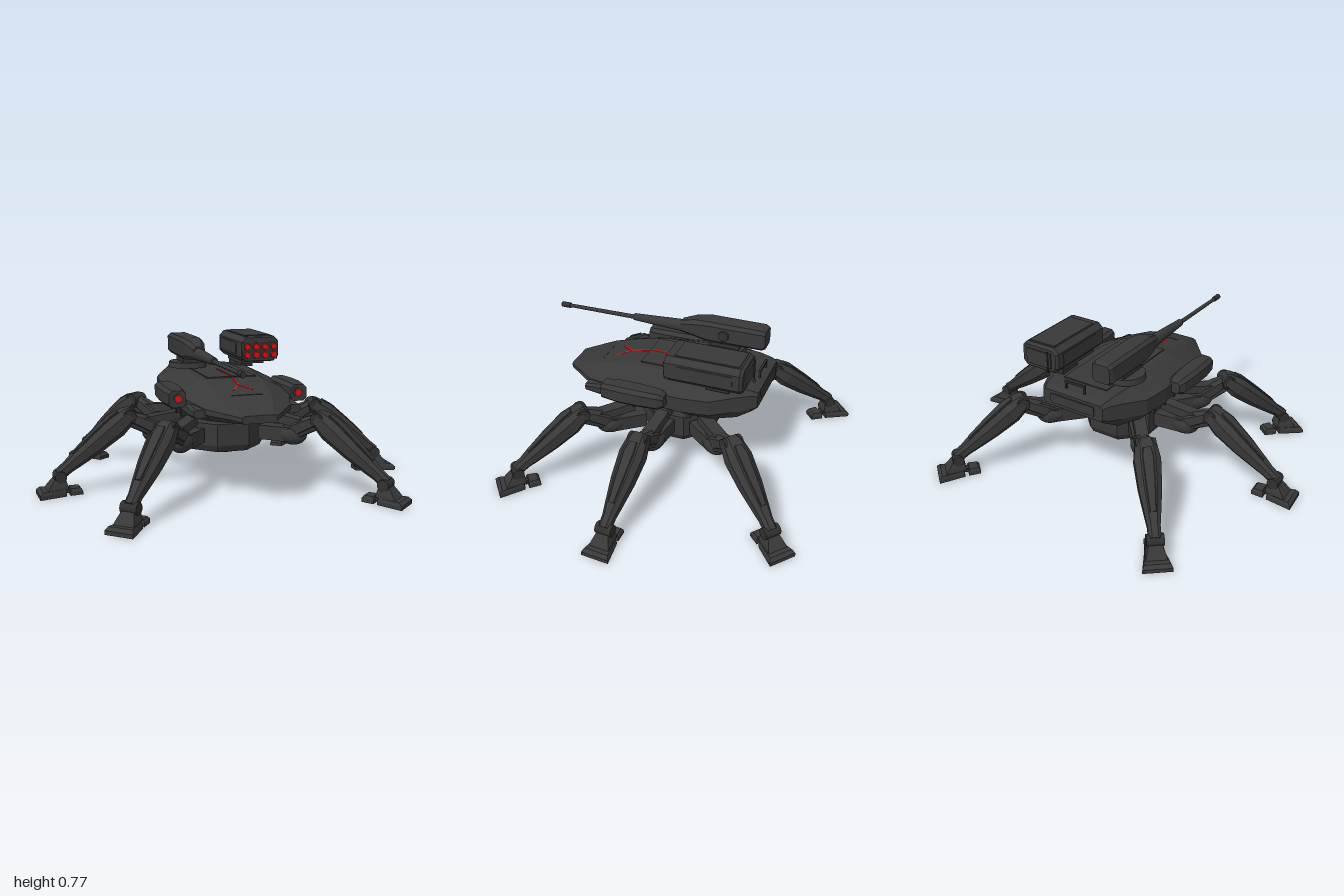
import * as THREE from 'three';

const material = (name, color) => Object.assign(new THREE.MeshStandardMaterial({ color }), { name });
const armour = material('dark grey armour', 0x383838);
const trim = material('charcoal trim', 0x303030);
const red = material('signal red', 0xe80c0c);

// Flat-shaded skin over a row of equal-length rings of [x, y, z] points, capped at both ends
function loft(rings) {
  const pos = [], n = rings[0].length;
  const tri = (a, b, c) => pos.push(...a, ...b, ...c);
  for (let i = 0; i + 1 < rings.length; i++) {
    for (let j = 0; j < n; j++) {
      const k = (j + 1) % n, A = rings[i], B = rings[i + 1];
      tri(A[j], A[k], B[k]);
      tri(A[j], B[k], B[j]);
    }
  }
  const first = rings[0], last = rings[rings.length - 1];
  for (let j = 1; j + 1 < n; j++) {
    tri(first[0], first[j + 1], first[j]);
    tri(last[0], last[j], last[j + 1]);
  }
  // Turn every face outward when the rings run the other way round
  let volume = 0;
  const v = i => new THREE.Vector3().fromArray(pos, i);
  for (let i = 0; i < pos.length; i += 9) volume += v(i).dot(v(i + 3).cross(v(i + 6)));
  if (volume < 0) {
    for (let i = 0; i < pos.length; i += 9) {
      const b = pos.slice(i + 3, i + 6);
      for (let k = 0; k < 3; k++) { pos[i + 3 + k] = pos[i + 6 + k]; pos[i + 6 + k] = b[k]; }
    }
  }
  const g = new THREE.BufferGeometry();
  g.setAttribute('position', new THREE.Float32BufferAttribute(pos, 3));
  g.computeVertexNormals();
  return g;
}

// Chamfered rectangle at depth z
function octagon(z, w, h, c = 0.25, cy = 0) {
  const x = w / 2, y = h / 2, d = Math.min(w, h) * c;
  return [[x, y - d], [x - d, y], [d - x, y], [-x, y - d], [-x, d - y], [d - x, -y], [x - d, -y], [x, d - y]]
    .map(p => [p[0], p[1] + cy, z]);
}
const beam = sections => loft(sections.map(s => octagon(...s)));

function add(parent, name, geometry, mat, x = 0, y = 0, z = 0) {
  const m = new THREE.Mesh(geometry, mat);
  m.name = name;
  m.position.set(x, y, z);
  parent.add(m);
  return m;
}
const box = (w, h, d) => new THREE.BoxGeometry(w, h, d);
const cyl = (r1, r2, h, n = 16) => new THREE.CylinderGeometry(r1, r2, h, n);
const cylZ = (r1, r2, h, n = 16) => cyl(r1, r2, h, n).rotateX(Math.PI / 2);

// Beam whose local z runs from a to b
function strut(parent, name, geometry, mat, a, b) {
  const m = new THREE.Mesh(geometry, mat);
  m.name = name;
  m.position.set(...a);
  m.lookAt(...b);
  parent.add(m);
  return m;
}
function bar(parent, name, mat, a, b, w, h) {
  const len = new THREE.Vector3(...a).distanceTo(new THREE.Vector3(...b));
  return strut(parent, name, box(w, h, len).translate(0, 0, len / 2), mat, a, b);
}

// Leg: local x points outward, origin on the ground below the knee
function makeLeg() {
  const leg = new THREE.Group();
  leg.name = 'leg';
  bar(leg, 'hipArm', armour, [-0.34, 0.285, 0], [-0.16, 0.29, 0], 0.085, 0.075);
  add(leg, 'hipBulb', new THREE.SphereGeometry(0.054, 20, 14).scale(1.5, 1, 1), armour, -0.16, 0.287);
  strut(leg, 'thigh', beam([[0, 0.07, 0.07], [0.05, 0.085, 0.09], [0.12, 0.075, 0.08], [0.18, 0.055, 0.06]]),
    armour, [-0.17, 0.3, 0], [0.0, 0.385, 0]);
  bar(leg, 'thighCover', armour, [-0.28, 0.375, 0], [-0.09, 0.35, 0], 0.065, 0.045);
  for (const s of [-1, 1]) {
    strut(leg, 'piston', cylZ(0.011, 0.011, 0.17, 8).translate(0, 0, 0.085), trim,
      [-0.14, 0.275, s * 0.03], [0.01, 0.35, s * 0.03]);
  }
  add(leg, 'kneeJoint', cylZ(0.036, 0.036, 0.1), trim, 0, 0.385);
  // Shin swells below the knee and thins toward the ankle
  const top = [-0.025, 0.405, 0], end = [0.365, 0.105, 0];
  strut(leg, 'shin', beam([[0, 0.075, 0.06], [0.03, 0.105, 0.09], [0.11, 0.13, 0.114], [0.25, 0.112, 0.098],
    [0.39, 0.074, 0.072], [0.43, 0.062, 0.062], [0.49, 0.06, 0.06]]), armour, top, end);
  strut(leg, 'shinPlate', beam([[0.06, 0.04, 0.012, 0.25, 0.051], [0.11, 0.055, 0.012, 0.25, 0.057],
    [0.25, 0.045, 0.012, 0.25, 0.049], [0.37, 0.03, 0.012, 0.25, 0.038]]), armour, top, end);
  add(leg, 'ankleJoint', cylZ(0.03, 0.03, 0.085), trim, 0.36, 0.1);
  // Foot: flared toe, raised instep and a small heel pad
  const ring = (y, x0, w0, x1, w1) => [[x0, y, -w0], [x0, y, w0], [x1, y, w1], [x1, y, -w1]];
  add(leg, 'toe', loft([ring(0, 0.335, 0.045, 0.472, 0.072), ring(0.02, 0.335, 0.045, 0.472, 0.072),
    ring(0.035, 0.34, 0.042, 0.455, 0.062)]), armour);
  add(leg, 'instep', loft([ring(0.035, 0.325, 0.04, 0.43, 0.052), ring(0.05, 0.325, 0.04, 0.42, 0.048),
    ring(0.09, 0.335, 0.03, 0.39, 0.032)]), armour);
  add(leg, 'heelLink', box(0.07, 0.02, 0.035), trim, 0.32, 0.02);
  add(leg, 'heelPad', loft([ring(0, 0.25, 0.037, 0.315, 0.042), ring(0.02, 0.25, 0.037, 0.315, 0.042),
    ring(0.035, 0.262, 0.03, 0.308, 0.034)]), armour);
  return leg;
}

export function createModel() {
  const model = new THREE.Group();
  model.name = 'sixLeggedTank';

  // Hull: z, top half width, top y, side half width, upper side y, lower side y, bottom half width, bottom y
  const hull = [
    [0.61, 0.075, 0.468, 0.088, 0.46, 0.44, 0.075, 0.43], [0.44, 0.12, 0.529, 0.22, 0.478, 0.45, 0.17, 0.415],
    [0.30, 0.14, 0.56, 0.27, 0.5, 0.45, 0.21, 0.408], [0.18, 0.15, 0.583, 0.285, 0.515, 0.45, 0.23, 0.405],
    [-0.10, 0.19, 0.585, 0.31, 0.53, 0.45, 0.25, 0.405], [-0.25, 0.2, 0.585, 0.298, 0.535, 0.455, 0.25, 0.407],
    [-0.37, 0.19, 0.583, 0.235, 0.55, 0.465, 0.2, 0.415], [-0.44, 0.18, 0.572, 0.2, 0.555, 0.475, 0.18, 0.455],
    [-0.468, 0.165, 0.56, 0.18, 0.545, 0.485, 0.165, 0.475]];
  add(model, 'hull', loft(hull.map(([z, tw, ty, w, yu, yl, bw, by]) =>
    [[tw, ty, z], [-tw, ty, z], [-w, yu, z], [-w, yl, z], [-bw, by, z], [bw, by, z], [w, yl, z], [w, yu, z]])), armour);
  add(model, 'deckPlate', box(0.26, 0.008, 0.54), armour, 0, 0.585, -0.09);
  add(model, 'noseSeam', box(0.16, 0.004, 0.006), trim, 0, 0.533, 0.42);
  add(model, 'rearHatch', box(0.26, 0.05, 0.012), armour, 0, 0.52, -0.469);
  add(model, 'handleBar', box(0.12, 0.012, 0.012), trim, 0, 0.62, -0.44);

  // Red spine line with a forked end
  const stripes = [[[0, 0.588, -0.09], [0, 0.588, 0.18]], [[0, 0.5835, 0.18], [0, 0.5615, 0.29]]];
  for (const s of [-1, 1]) stripes.push([[0, 0.5615, 0.29], [s * 0.052, 0.546, 0.355]]);
  for (const [a, b] of stripes) bar(model, 'redStripe', red, a, b, 0.01, 0.005);

  for (const s of [-1, 1]) {
    add(model, 'handlePost', box(0.01, 0.04, 0.01), trim, s * 0.055, 0.602, -0.44);
    add(model, 'shoulderLedge', beam([[0.02, 0.1, 0.06], [0.36, 0.11, 0.06], [0.44, 0.1, 0.04]]),
      armour, s * 0.225, 0.455);
    // Sensor pod with a red lens
    add(model, 'sensorPod', beam([[-0.03, 0.06, 0.06, 0.2], [0.0, 0.092, 0.088, 0.2], [0.12, 0.108, 0.095, 0.2],
      [0.22, 0.106, 0.095, 0.2], [0.305, 0.086, 0.084, 0.2]]), armour, s * 0.32, 0.508);
    add(model, 'lensRing', cylZ(0.027, 0.027, 0.008), trim, s * 0.316, 0.51, 0.304);
    add(model, 'redLens', cylZ(0.016, 0.016, 0.008), red, s * 0.316, 0.51, 0.306);
    // Ribbed vents under the flank
    for (let i = 0; i < 4; i++) {
      add(model, 'flankRib', box(0.03, 0.045, 0.018), trim, s * 0.255, 0.415, 0.17 - i * 0.1).rotation.x = 0.4;
    }
  }

  // Walking base beneath the hull
  add(model, 'neck', cyl(0.14, 0.14, 0.07, 24), armour, 0, 0.38, 0);
  const hub = add(model, 'hub', cyl(0.225, 0.225, 0.115, 8).toNonIndexed(), armour, 0, 0.2875, 0);
  const hubBase = add(model, 'hubBase', cyl(0.225, 0.205, 0.035, 8).toNonIndexed(), armour, 0, 0.2125, 0);
  for (const m of [hub, hubBase]) { m.geometry.computeVertexNormals(); m.rotation.y = Math.PI / 8; }
  add(model, 'hubDisc', cyl(0.095, 0.095, 0.03, 24), armour, 0, 0.183, 0);
  add(model, 'hubDiscRim', cyl(0.115, 0.115, 0.008, 24), trim, 0, 0.193, 0);

  // Six legs: knee x, knee z, outward direction x, z
  for (const [x, z, dx, dz] of [[0.4, 0.405, 0.65, 0.76], [0.52, 0.03, 1, 0.075], [0.385, -0.405, 0.64, -0.77]]) {
    for (const s of [-1, 1]) {
      const leg = makeLeg();
      leg.position.set(s * x, 0, z);
      leg.rotation.y = Math.atan2(-dz, s * dx);
      model.add(leg);
    }
  }

  // Cannon on its turntable
  const gun = new THREE.Group();
  gun.name = 'cannon';
  gun.position.set(-0.138, 0.705, 0);
  model.add(gun);
  add(gun, 'turntable', cyl(0.1, 0.105, 0.03, 24), armour, 0.003, -0.095, -0.2);
  add(gun, 'gunMount', box(0.08, 0.05, 0.16), trim, 0, -0.065, -0.2);
  add(gun, 'gunBody', beam([[-0.42, 0.1, 0.095, 0.15], [-0.4, 0.118, 0.112, 0.15], [-0.1, 0.12, 0.114, 0.15],
    [-0.03, 0.104, 0.1, 0.2], [0.05, 0.062, 0.068, 0.25, -0.01]]), armour);
  add(gun, 'gunSight', cyl(0.028, 0.028, 0.02).rotateZ(Math.PI / 2), trim, 0.064, 0, -0.2);
  add(gun, 'barrelSleeve', cylZ(0.019, 0.034, 0.3), armour, 0, -0.014, 0.18);
  add(gun, 'barrel', cylZ(0.01, 0.012, 0.42, 12), armour, 0, -0.015, 0.52);
  add(gun, 'muzzle', cylZ(0.015, 0.015, 0.05, 12), trim, 0, -0.015, 0.745);

  // Rocket launcher with eight red tips
  const launcher = new THREE.Group();
  launcher.name = 'rocketLauncher';
  launcher.position.set(0.226, 0.696, -0.23);
  model.add(launcher);
  add(launcher, 'launcherPedestal', box(0.1, 0.06, 0.12), trim, -0.025, -0.09, -0.05);
  add(launcher, 'launcherMount', box(0.13, 0.02, 0.24), armour, -0.02, -0.075, 0.02);
  add(launcher, 'launcherCase', beam([[-0.2, 0.2, 0.115, 0.2], [-0.185, 0.222, 0.138, 0.2],
    [0.185, 0.222, 0.138, 0.2], [0.2, 0.21, 0.126, 0.2]]), armour);
  add(launcher, 'rearPanel', box(0.15, 0.08, 0.012), armour, 0, 0, -0.202);
  add(launcher, 'topPanel', box(0.15, 0.006, 0.33), armour, 0, 0.07, -0.01);
  for (const s of [-1, 1]) add(launcher, 'sidePanel', box(0.006, 0.065, 0.28), armour, s * 0.111, 0, -0.01);
  add(launcher, 'tubeFace', box(0.2, 0.092, 0.008), trim, 0, -0.008, 0.199);
  for (let i = 0; i < 8; i++) {
    add(launcher, 'rocketTip', cylZ(0.015, 0.018, 0.009, 12), red,
      -0.072 + (i % 4) * 0.05, i < 4 ? 0.014 : -0.031, 0.206);
  }
  add(launcher, 'aerialStem', cyl(0.004, 0.004, 0.12, 6), trim, -0.06, -0.01, -0.211);
  add(launcher, 'aerialTip', new THREE.SphereGeometry(0.009, 10, 8), trim, -0.06, -0.07, -0.211);

  return model;
}
